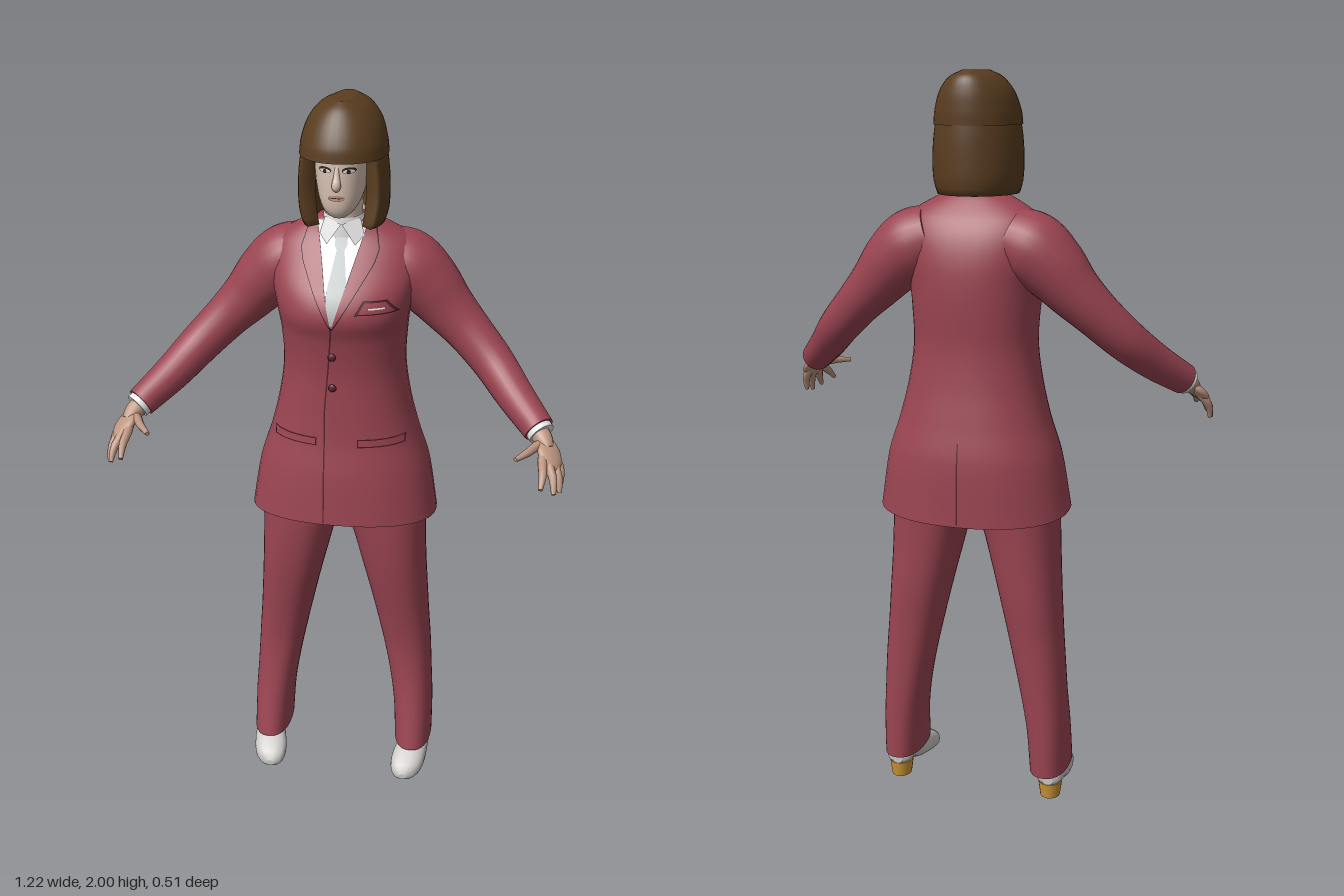
import * as THREE from 'three';

const V = (x, y, z) => new THREE.Vector3(x, y, z);
const mat = (name, color, side = THREE.FrontSide) => {
  const m = new THREE.MeshStandardMaterial({ color, side });
  m.name = name;
  return m;
};

// Smooth interpolation of a table whose first column is the parameter
function sample(rows, t) {
  let i = 0;
  while (i < rows.length - 2 && t > rows[i + 1][0]) i++;
  const a = rows[i], b = rows[i + 1], h = b[0] - a[0];
  const s = Math.min(1, Math.max(0, (t - a[0]) / h));
  const p = rows[Math.max(0, i - 1)], q = rows[Math.min(rows.length - 1, i + 2)];
  return a.map((_, k) => {
    const m0 = (b[k] - p[k]) / (b[0] - p[0]) * h, m1 = (q[k] - a[k]) / (q[0] - a[0]) * h;
    return a[k] * (2 * s ** 3 - 3 * s * s + 1) + m0 * (s ** 3 - 2 * s * s + s)
      + b[k] * (3 * s * s - 2 * s ** 3) + m1 * (s ** 3 - s * s);
  });
}

// Skin over closed rings of equal length, with optional end caps
function loft(rings, capStart = true, capEnd = true) {
  const pos = [], idx = [], n = rings[0].length;
  rings.forEach(r => r.forEach(p => pos.push(p.x, p.y, p.z)));
  for (let i = 0; i < rings.length - 1; i++) for (let j = 0; j < n; j++) {
    const a = i * n + j, c = i * n + (j + 1) % n, b = a + n, d = c + n;
    idx.push(a, b, c, c, b, d);
  }
  const cap = (ring, flip) => {
    const base = pos.length / 3, mid = V(0, 0, 0);
    ring.forEach(p => { pos.push(p.x, p.y, p.z); mid.addScaledVector(p, 1 / n); });
    pos.push(mid.x, mid.y, mid.z);
    for (let j = 0; j < n; j++) {
      const a = base + j, b = base + (j + 1) % n;
      idx.push(base + n, flip ? b : a, flip ? a : b);
    }
  };
  if (capStart) cap(rings[0], false);
  if (capEnd) cap(rings[rings.length - 1], true);
  const g = new THREE.BufferGeometry();
  g.setAttribute('position', new THREE.Float32BufferAttribute(pos, 3));
  g.setIndex(idx);
  g.computeVertexNormals();
  return g;
}

const pw = (v, n) => Math.sign(v) * Math.abs(v) ** (2 / n);
const around = (n, f) => Array.from({ length: n }, (_, j) => f(j / n * Math.PI * 2));
const sym = rows => rows.map(([y, w, f, b]) => [y, -w, w, f, b]);

// Upright form from rows [y, xMin, xMax, zFront, zBack]
function upright(rows, n, steps, caps = [true, true], hem = () => 0) {
  const y0 = rows[0][0], y1 = rows[rows.length - 1][0], rings = [];
  for (let i = 0; i <= steps; i++) {
    const [y, x0, x1, f, b] = sample(rows, y0 + (y1 - y0) * i / steps);
    rings.push(around(40, a => V((x0 + x1) / 2 + (x1 - x0) / 2 * pw(Math.cos(a), n),
      y + hem(y, Math.sin(a)), (f + b) / 2 + (f - b) / 2 * pw(Math.sin(a), n))));
  }
  return loft(rings, ...caps);
}

// Tapered tube from rows [x, y, z, radius]
function limb(rows, steps = 12, seg = 12) {
  const curve = new THREE.CatmullRomCurve3(rows.map(r => V(r[0], r[1], r[2])));
  const radii = rows.map((r, i) => [i, r[3]]), rings = [];
  for (let i = 0; i <= steps; i++) {
    const k = i / steps, c = curve.getPoint(k), t = curve.getTangent(k);
    const u = V(0, 0, 1).cross(t).normalize(), v = u.clone().cross(t);
    const r = sample(radii, k * (rows.length - 1))[1];
    rings.push(around(seg, a => c.clone().addScaledVector(u, r * Math.cos(a)).addScaledVector(v, r * Math.sin(a))));
  }
  return loft(rings);
}

// Thin plate lying on the front or back of an upright form
function plate(rows, n, y0, y1, left, right, off, back = false) {
  const R = 20, C = 8, pos = [], idx = [];
  for (let i = 0; i <= R; i++) for (let j = 0; j <= C; j++) {
    const y = y0 + (y1 - y0) * i / R, [, , w, f, b] = sample(rows, y);
    const x = left(y) + (right(y) - left(y)) * j / C;
    const d = (f - b) / 2 * Math.max(0, 1 - Math.abs(x / w) ** n) ** (1 / n) + off;
    pos.push(x, y, (f + b) / 2 + (back ? -d : d));
    if (i < R && j < C) {
      const a = i * (C + 1) + j, u = a + C + 1;
      idx.push(...(back ? [a, u, a + 1, a + 1, u, u + 1] : [a, a + 1, u, a + 1, u + 1, u]));
    }
  }
  const g = new THREE.BufferGeometry();
  g.setAttribute('position', new THREE.Float32BufferAttribute(pos, 3));
  g.setIndex(idx);
  g.computeVertexNormals();
  return g;
}

function mirrored(geo) {
  const g = geo.clone().scale(-1, 1, 1), ix = g.index.array;
  for (let i = 0; i < ix.length; i += 3) [ix[i], ix[i + 1]] = [ix[i + 1], ix[i]];
  return g;
}

export function createModel() {
  const model = new THREE.Group();
  model.name = 'woman in suit';
  const D = THREE.DoubleSide;
  const suit = mat('red suit', 0x9b4552, D), seam = mat('dark seam', 0x55222c, D), hair = mat('brown hair', 0x5a3d20);
  const face = mat('face skin', 0xd6bfb0, D), skin = mat('hand skin', 0xbd9680, D), shirt = mat('white shirt', 0xe6e4e4, D);
  const tie = mat('grey tie', 0xb3b8b9, D), shoe = mat('pale shoe', 0xc9c7c4), heel = mat('tan heel', 0xcf9836);
  const dark = mat('dark features', 0x33241e, D);
  const add = (name, geo, m) => {
    const mesh = new THREE.Mesh(geo, m);
    mesh.name = name;
    model.add(mesh);
  };
  const pair = (name, geo, m) => { add(name + 'Left', geo, m); add(name + 'Right', mirrored(geo), m); };

  // Jacket body with an open hem, lower at the back
  const torso = sym([[0.85, 0.263, 0.11, -0.252], [1, 0.237, 0.098, -0.248], [1.1, 0.205, 0.083, -0.232],
    [1.2, 0.18, 0.077, -0.217], [1.3, 0.166, 0.076, -0.21], [1.4, 0.17, 0.09, -0.215], [1.46, 0.178, 0.108, -0.216],
    [1.52, 0.19, 0.088, -0.212], [1.58, 0.197, 0.04, -0.198], [1.63, 0.183, 0.004, -0.175], [1.66, 0.145, -0.015, -0.152],
    [1.69, 0.088, -0.022, -0.125], [1.705, 0.05, -0.03, -0.105]]);
  const TN = 2.3;
  add('jacket', upright(torso, TN, 60, [false, true], (y, s) => Math.max(0, 1 - (y - 0.85) / 0.15) * 0.017 * s), suit);
  const onJacket = (name, m, y0, y1, l, r, off, back) => add(name, plate(torso, TN, y0, y1, l, r, off, back), m);

  // Shirt front, tie and lapels
  const k = y => (y - 1.44) / 0.25;
  const vL = y => -0.01 - 0.057 * k(y), vR = y => -0.01 + 0.075 * k(y);
  onJacket('shirtFront', shirt, 1.44, 1.69, vL, vR, 0.003);
  const tieW = y => (y > 1.625 ? 0.016 : 0.01 + 0.016 * Math.min(1, (1.625 - y) / 0.09));
  onJacket('tie', tie, 1.45, 1.655, y => Math.max(vL(y), -tieW(y)), y => Math.min(vR(y), tieW(y)), 0.007);
  const lapelW = y => 0.05 * Math.min(1, k(y) * 1.6) * (k(y) > 0.75 ? 1 - (k(y) - 0.75) * 2.6 : 1);
  for (const [m, off, rim, name] of [[seam, 0.005, 0.003, 'lapelEdge'], [suit, 0.008, 0, 'lapel']]) {
    onJacket(name + 'Right', m, 1.44, 1.69, y => vL(y) - lapelW(y) - rim, vL, off);
    onJacket(name + 'Left', m, 1.44, 1.69, vR, y => vR(y) + lapelW(y) + rim, off);
  }

  // Front closure, buttons, back vent
  onJacket('frontSeam', seam, 0.872, 1.44, y => -0.036 + 0.022 * Math.max(0, (y - 1.2) / 0.24), y => -0.032 + 0.022 * Math.max(0, (y - 1.2) / 0.24), 0.002);
  onJacket('backVent', seam, 0.84, 1.06, () => -0.002, () => 0.002, 0.002, true);
  for (const y of [1.355, 1.265]) {
    const c = new THREE.SphereGeometry(0.011, 12, 8).scale(1, 1, 0.5);
    add('button', c.translate(-0.012, y, sample(torso, y)[3] + 0.003), seam);
  }

  // Pockets and folded pocket square
  for (const s of [1, -1]) {
    const l = s > 0 ? 0.055 : -0.18;
    onJacket('pocketShadow', seam, 1.096, 1.12, () => l, () => l + 0.125, 0.003);
    onJacket('pocketFlap', suit, 1.1, 1.12, () => l + 0.002, () => l + 0.123, 0.008);
  }
  onJacket('pocketSquareEdge', seam, 1.483, 1.517, y => 0.05 + (y - 1.483) * 0.6, y => 0.16 - (y - 1.483) * 0.9, 0.009);
  onJacket('pocketSquare', suit, 1.487, 1.513, y => 0.057 + (y - 1.483) * 0.6, y => 0.153 - (y - 1.483) * 0.9, 0.012);
  onJacket('pocketSquareTrim', shirt, 1.497, 1.501, () => 0.085, () => 0.125, 0.014);

  // Sleeves and shirt cuffs
  pair('sleeve', limb([[0.1, 1.58, -0.1, 0.085], [0.16, 1.555, -0.1, 0.097], [0.215, 1.51, -0.1, 0.088],
    [0.27, 1.45, -0.095, 0.073], [0.33, 1.39, -0.08, 0.062], [0.4, 1.32, -0.045, 0.056],
    [0.465, 1.255, 0.02, 0.05], [0.535, 1.195, 0.095, 0.042]], 36, 24), suit);
  pair('cuff', limb([[0.52, 1.207, 0.08, 0.036], [0.543, 1.187, 0.105, 0.036]], 3, 20), shirt);

  // Hands: palm and five spread fingers
  const d = V(0.03, -0.06, 0.09).normalize();
  const s = V(0.035, 0, -0.055).addScaledVector(d, -d.dot(V(0.035, 0, -0.055))).normalize();
  const palm = new THREE.SphereGeometry(1, 20, 14).scale(0.036, 0.016, 0.052)
    .applyMatrix4(new THREE.Matrix4().makeBasis(s, d.clone().cross(s), d).setPosition(0.566, 1.152, 0.148));
  pair('palm', palm, skin);
  pair('wrist', limb([[0.525, 1.2, 0.09, 0.027], [0.548, 1.178, 0.118, 0.025], [0.56, 1.16, 0.14, 0.018]], 6, 14), skin);
  const fingers = [
    [[0.535, 1.17, 0.14], [0.512, 1.168, 0.182], [0.482, 1.163, 0.22]],
    [[0.55, 1.145, 0.18], [0.553, 1.125, 0.22], [0.55, 1.1, 0.254]],
    [[0.567, 1.135, 0.18], [0.58, 1.11, 0.212], [0.584, 1.08, 0.236]],
    [[0.58, 1.132, 0.165], [0.594, 1.103, 0.188], [0.599, 1.07, 0.203]],
    [[0.586, 1.133, 0.143], [0.598, 1.108, 0.156], [0.601, 1.078, 0.166]]];
  fingers.forEach((f, i) => pair(i ? 'finger' : 'thumb', limb([[0.552, 1.172, 0.125, 0.013],
    [...f[0], 0.0125], [...f[1], 0.0105], [...f[2], 0.006]], 10, 10), skin));

  // Trouser legs
  pair('trouserLeg', upright([[0.08, 0.163, 0.272, 0.06, -0.157], [0.2, 0.155, 0.27, 0.032, -0.16], [0.3, 0.14, 0.264, 0.015, -0.162],
    [0.4, 0.12, 0.258, 0.01, -0.165], [0.5, 0.098, 0.25, 0.02, -0.17], [0.6, 0.075, 0.243, 0.036, -0.178],
    [0.7, 0.05, 0.237, 0.05, -0.181], [0.8, 0.023, 0.233, 0.058, -0.185], [0.88, -0.01, 0.231, 0.06, -0.19],
    [1, -0.01, 0.2, 0.055, -0.19]], 2.3, 36), suit);

  // Shoes from rows [z, centre x, half width, bottom, top]
  const shoeRows = [[-0.127, 0.225, 0.016, 0.045, 0.08], [-0.115, 0.225, 0.034, 0.04, 0.1], [-0.06, 0.225, 0.042, 0.03, 0.11],
    [-0.01, 0.222, 0.044, 0.008, 0.1], [0.04, 0.214, 0.049, 0.002, 0.082], [0.08, 0.208, 0.044, 0, 0.06],
    [0.104, 0.204, 0.028, 0.003, 0.042], [0.112, 0.203, 0.011, 0.01, 0.027]];
  const shoeRings = Array.from({ length: 29 }, (_, i) => {
    const [z, cx, w, b, t] = sample(shoeRows, -0.127 + 0.239 * i / 28);
    return around(24, a => V(cx + w * pw(Math.cos(a), 2.5), (b + t) / 2 - (t - b) / 2 * pw(Math.sin(a), 2.5), z));
  });
  pair('shoe', loft(shoeRings), shoe);
  pair('shoeHeel', new THREE.CylinderGeometry(0.034, 0.028, 0.045, 20).scale(1, 1, 1.2).translate(0.225, 0.0225, -0.088), heel);

  // Neck and collar
  add('neck', limb([[0, 1.62, -0.062, 0.05], [0, 1.7, -0.055, 0.047], [0, 1.79, -0.04, 0.048]], 8, 24), face);
  add('collar', new THREE.CylinderGeometry(0.054, 0.066, 0.05, 28, 1, true).rotateX(0.2).translate(0, 1.69, -0.062), shirt);
  const flap = new THREE.Shape([[0.004, 1.69], [0.055, 1.705], [0.062, 1.66], [0.035, 1.635]].map(p => new THREE.Vector2(...p)));
  const flapGeo = new THREE.ShapeGeometry(flap).translate(0, -1.67, 0).rotateX(-0.35).rotateY(0.4).translate(0, 1.67, 0.012);
  pair('collarFlap', flapGeo, shirt);

  // Head and facial features
  const head = sym([[1.722, 0.018, 0.06, 0.015], [1.735, 0.036, 0.07, -0.01], [1.76, 0.052, 0.076, -0.06], [1.8, 0.064, 0.077, -0.11],
    [1.85, 0.07, 0.075, -0.13], [1.9, 0.07, 0.07, -0.13], [1.93, 0.055, 0.05, -0.11]]);
  add('head', upright(head, 2.2, 24), face);
  const oval = (name, m, cx, cy, w, h, off) => {
    const e = y => w * Math.sqrt(Math.max(0, 1 - ((y - cy) / h) ** 2));
    const g = plate(head, 2.2, cy - h, cy + h, y => cx - e(y), y => cx + e(y), off);
    cx ? pair(name, g, m) : add(name, g, m);
  };
  oval('lashLine', dark, 0.03, 1.846, 0.017, 0.008, 0.002);
  oval('eyeWhite', shirt, 0.03, 1.844, 0.014, 0.005, 0.004);
  oval('iris', dark, 0.03, 1.844, 0.005, 0.005, 0.006);
  oval('eyebrow', dark, 0.032, 1.867, 0.02, 0.004, 0.002);
  oval('lips', skin, 0, 1.777, 0.021, 0.008, 0.003);
  oval('lipLine', dark, 0, 1.778, 0.018, 0.0012, 0.005);
  add('nose', limb([[0, 1.856, 0.07, 0.005], [0, 1.83, 0.076, 0.008], [0, 1.808, 0.082, 0.012], [0, 1.797, 0.078, 0.007]], 10, 14), face);

  // Bob haircut: full cap with fringe, then sides and back open around the face
  add('hairCap', upright(sym([[1.865, 0.113, 0.089, -0.182], [1.9, 0.109, 0.084, -0.183], [1.95, 0.092, 0.06, -0.179],
    [1.985, 0.062, 0.034, -0.166], [2, 0.028, 0.012, -0.142]]), 2.1, 24), hair);
  const bob = [[1.69, 0.106, 0.085, -0.172, 0.86], [1.72, 0.115, 0.088, -0.18, 0.88], [1.77, 0.118, 0.09, -0.182, 0.93],
    [1.83, 0.115, 0.09, -0.182, 0.93], [1.89, 0.106, 0.084, -0.178, 0.9]];
  const N = 36;
  const bobRing = (y, outer, inner) => {
    const [, w, f, b, gap] = sample(bob, y);
    return Array.from({ length: N * 2 }, (_, i) => {
      const j = i < N ? i : 2 * N - 1 - i, q = i < N ? outer : inner;
      const a = Math.PI / 2 + gap + (2 * Math.PI - 2 * gap) * j / (N - 1);
      return V(w * q * Math.cos(a), y, (f + b) / 2 + (f - b) / 2 * q * Math.sin(a));
    });
  };
  const bobRings = [bobRing(1.69, 0.82, 0.82)];
  for (let i = 0; i <= 12; i++) bobRings.push(bobRing(1.69 + 0.2 * i / 12, 1, 0.68));
  add('hairBob', loft(bobRings, false, false), hair);
  return model;
}
